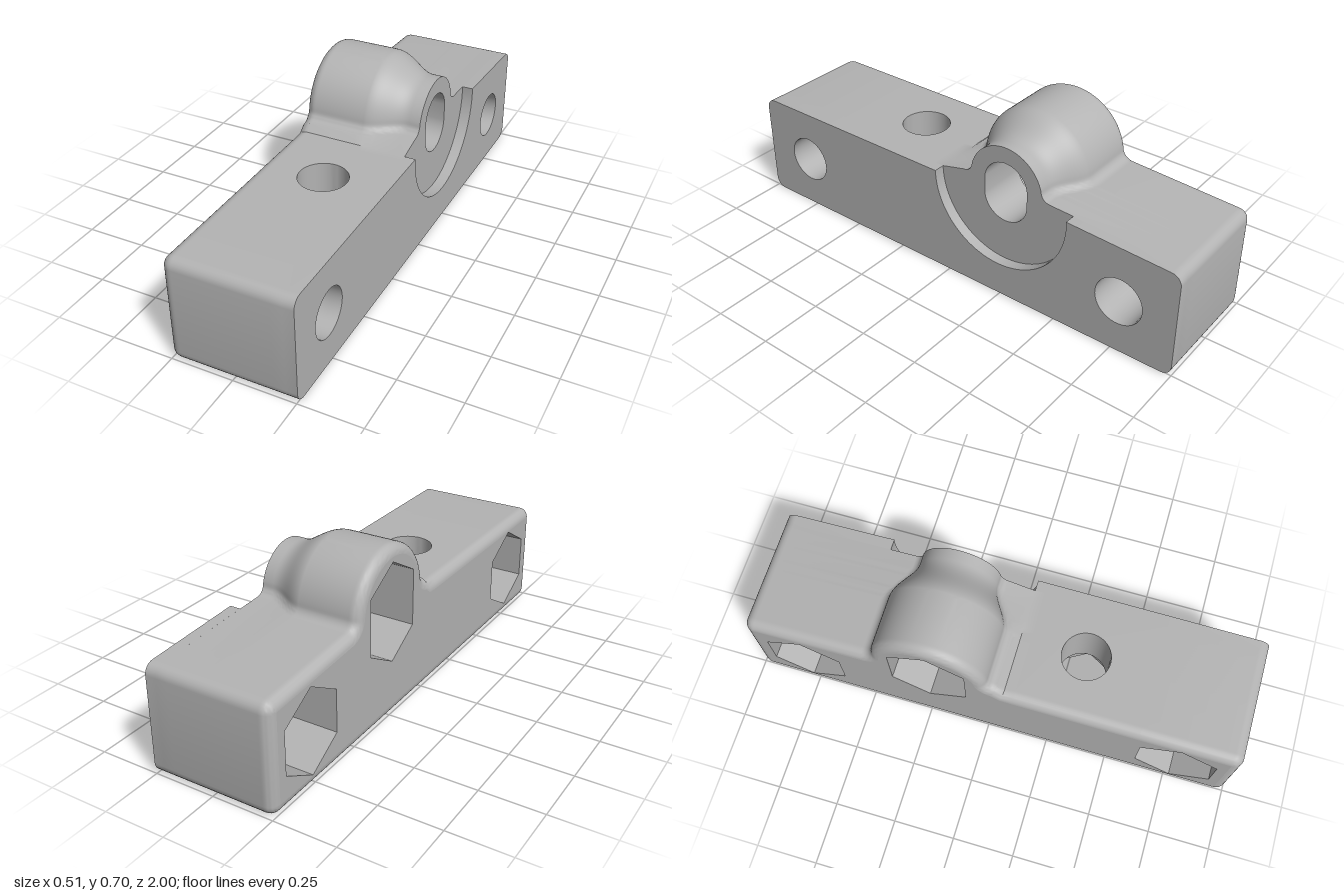
import * as THREE from 'three';
import { toCreasedNormals } from 'three/addons/utils/BufferGeometryUtils.js';

// Section plane: u runs to the back (-z), y up; w runs along world +x.
const H = 0.437, W = 0.255, BEVEL = 0.04, STEP = 0.21;
const BOSS_U = 0.24, BOSS_Y = 0.463, R_BOSS = 0.234, R_NECK = 0.163;
const HOLE_R = 0.097, NUT_R = 0.175, SLOT = 0.056, NUT_FLOOR = 0;
const CROSS_U = -0.325, CROSS_FLOOR = 0.2;

function arc(cu, cy, r, a0, a1, n) {
  return Array.from({ length: n + 1 }, (_, i) => {
    const a = a0 + (a1 - a0) * i / n;
    return [cu + r * Math.cos(a), cy + r * Math.sin(a)];
  });
}

// Regular polygon (hexagon or near-circle), optionally stretched upward into a slot
function ring(cu, cy, r, n, stretch = 0) {
  return Array.from({ length: n }, (_, i) => {
    const a = (i + 0.5) / n * 2 * Math.PI, s = Math.sin(a);
    return [cu + r * Math.cos(a), cy + r * s + Math.sign(s) * stretch / 2];
  });
}

// Block section with a domed boss of radius r blended into the top
function section(r) {
  const c = 0.042, P = Math.PI, f = 0.04, yb = 0.462;
  const dy = yb + f - BOSS_Y, a = Math.asin(dy / r), s = r * Math.cos(a) + f;
  const before = [
    ...arc(-1 + c, c, c, P, 1.5 * P, 6), [-0.6, 0], [-0.1, 0],
    ...arc(1 - c, c, c, -P / 2, 0, 6),
    ...arc(1 - c, H - c, c, 0, P / 2, 6),
  ];
  const dome = [
    ...arc(BOSS_U + s, yb + f, f, -P / 2, -P, 8),
    ...arc(BOSS_U, BOSS_Y, r, a, P - a, 36).slice(1, -1),
    ...arc(BOSS_U - s, yb + f, f, 0, -P / 2, 8),
  ];
  const after = [[-0.06, H], [-0.1, H], [-0.6, H], ...arc(-1 + c, H - c, c, P / 2, P, 6)];
  return { before, dome, after, all: [...before, ...dome, ...after] };
}

function inset(pts, d) {
  const n = pts.length;
  const dir = (a, b) => new THREE.Vector2(b[0] - a[0], b[1] - a[1]).normalize();
  return pts.map((p, i) => {
    const t = dir(pts[(i + n - 1) % n], p).add(dir(p, pts[(i + 1) % n])).normalize();
    return [p[0] - t.y * d, p[1] + t.x * d];
  });
}

// Skin between closed rings; each ring is { w, pts }
function loft(rings, skip = () => false) {
  const pos = [];
  for (let k = 0; k + 1 < rings.length; k++) {
    const A = rings[k], B = rings[k + 1], n = A.pts.length;
    for (let i = 0; i < n; i++) {
      const j = (i + 1) % n;
      if (skip(A, i, j)) continue;
      const a = [...A.pts[i], A.w], b = [...A.pts[j], A.w];
      const c = [...B.pts[j], B.w], d = [...B.pts[i], B.w];
      pos.push(...a, ...b, ...c, ...a, ...c, ...d);
    }
  }
  const g = new THREE.BufferGeometry();
  g.setAttribute('position', new THREE.Float32BufferAttribute(pos, 3));
  return toCreasedNormals(g, 0.6);
}

const tunnel = (pts, w0, w1) => {
  const r = [...pts].reverse();
  return loft([{ w: w0, pts: r }, { w: w1, pts: r }]);
};

function shapeOf(pts, holes = []) {
  const v = (l) => l.map(([x, y]) => new THREE.Vector2(x, y));
  const s = new THREE.Shape(v(pts));
  s.holes = holes.map((h) => new THREE.Path(v(h)));
  return s;
}

function face(pts, holes, w, flip = false) {
  const g = new THREE.ShapeGeometry(shapeOf(pts, holes));
  if (flip) {
    g.index.array.reverse();
    g.computeVertexNormals();
  }
  return g.translate(0, 0, w);
}

export function createModel() {
  const model = new THREE.Group();
  model.name = 'mountingBlock';
  const body = new THREE.Group();
  body.name = 'block';
  body.rotation.y = Math.PI / 2;
  model.add(body);
  const grey = new THREE.MeshStandardMaterial({ color: 0xb3b3b3, side: THREE.DoubleSide });
  grey.name = 'grey plastic';
  const add = (name, g) => {
    const m = new THREE.Mesh(g, grey);
    m.name = name;
    body.add(m);
  };

  // Outer skin: rounded rim, then the boss tapering to its neck
  const rings = [];
  const full = section(R_BOSS).all;
  for (let i = 0; i <= 8; i++) {
    const t = i / 8 * Math.PI / 2;
    rings.push({ w: -W + BEVEL * (1 - Math.cos(t)), pts: inset(full, BEVEL * (1 - Math.sin(t))) });
  }
  rings.push({ w: -STEP, pts: full });
  for (let i = 0; i <= 16; i++) {
    const t = i / 16, k = (1 - Math.cos(Math.PI * t)) / 2;
    rings.push({ w: -0.01 + 0.175 * t, pts: section(R_BOSS + (R_NECK - R_BOSS) * k).all });
  }
  const neck = section(R_NECK);
  rings.push({ w: STEP, pts: neck.all });
  const inPlate = (p) => Math.abs(p[0] + 0.35) < 0.2501;
  add('outerSkin', loft(rings, (A, i, j) => A.w >= -STEP - 1e-6 && inPlate(A.pts[i]) && inPlate(A.pts[j])));

  // Holes running across the block, with nut pockets on one side
  const bores = [[-0.77, H / 2, 0], [0.77, H / 2, 0], [BOSS_U, (0.407 + BOSS_Y) / 2, SLOT]].map(([u, y, s]) => ({
    nut: ring(u, y, NUT_R, 6, s),
    hole: ring(u, y, HOLE_R, 40, s),
  }));
  for (const { nut, hole } of bores) {
    add('nutPocket', tunnel(nut, -W, NUT_FLOOR));
    add('nutSeat', face(nut, [hole], NUT_FLOOR, true));
    add('screwHole', tunnel(hole, NUT_FLOOR, STEP));
  }
  add('nutSideFace', face(rings[0].pts, bores.map((b) => b.nut), -W, true));

  // Slab beside the round recess, and the recess floor with the neck end
  const recess = arc(BOSS_U, H, 0.3, 0.068, -Math.PI, 48);
  const slab = new THREE.ExtrudeGeometry(
    shapeOf([...neck.before, ...recess.slice(0, -1), ...neck.after], [bores[0].hole, bores[1].hole]),
    { depth: W - STEP, bevelEnabled: false });
  add('recessedSlab', toCreasedNormals(slab.translate(0, 0, STEP), 0.6));
  add('recessFloor', face([...neck.dome, ...[...recess].reverse()], [bores[2].hole], STEP));

  // Vertical hole with its nut pocket underneath
  const nut = ring(CROSS_U, 0, NUT_R, 6), hole = ring(CROSS_U, 0, HOLE_R, 40);
  const plate = [[-0.6, -STEP], [-0.1, -STEP], [-0.1, STEP], [-0.6, STEP]];
  const upright = (name, g) => add(name, g.rotateX(Math.PI / 2));
  upright('topPlate', face(plate, [hole], -H, true));
  upright('bottomPlate', face(plate, [nut], 0));
  upright('verticalHole', tunnel(hole, -H, -CROSS_FLOOR));
  upright('verticalNutSeat', face(nut, [hole], -CROSS_FLOOR));
  upright('verticalNutPocket', tunnel(nut, -CROSS_FLOOR, 0));

  return model;
}
